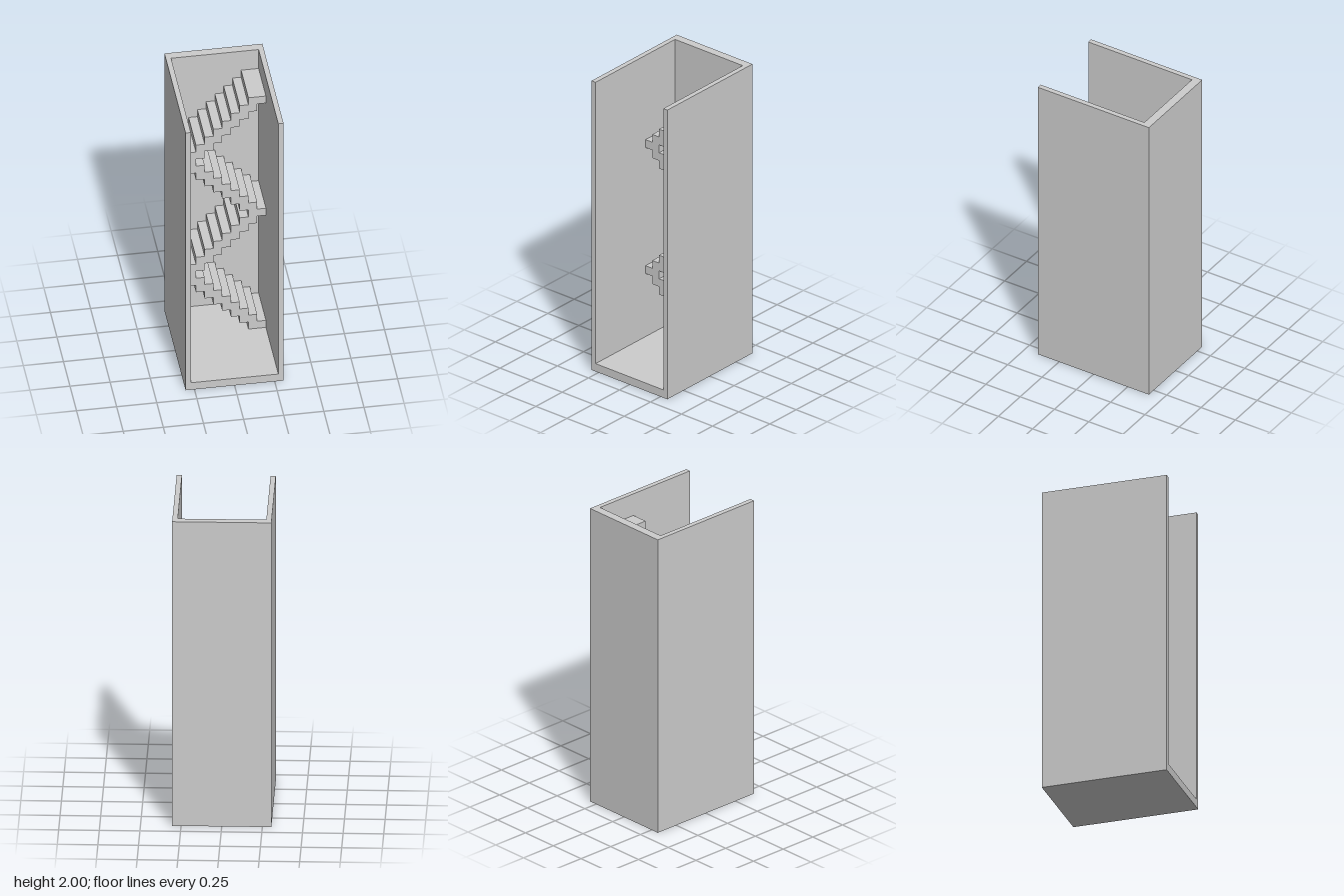
import * as THREE from 'three';

const W = 0.305, D = 0.405, H = 2;      // half width, half depth, height
const U = 0.0545;                       // stair tread = rise = floor thickness
const IN = 5 * U, BACK = -0.351;        // inner faces of side and back walls
const STAIR_FRONT = -0.07;

const material = new THREE.MeshStandardMaterial({ color: 0xcccccc });

function add(group, geometry, name) {
  const mesh = new THREE.Mesh(geometry, material);
  mesh.name = name;
  group.add(mesh);
  return mesh;
}

function extrude(points, depth) {
  const shape = new THREE.Shape(points.map(([x, y]) => new THREE.Vector2(x, y)));
  return new THREE.ExtrudeGeometry(shape, { depth, bevelEnabled: false });
}

export function createModel() {
  const group = new THREE.Group();
  group.name = 'stairwell';

  // U-shaped walls, open at the front and top (plan drawn as x, -z)
  const plan = [
    [-W, -D], [-IN, -D], [-IN, -BACK], [IN, -BACK],
    [IN, -D], [W, -D], [W, D], [-W, D],
  ];
  const walls = extrude(plan, H);
  walls.rotateX(-Math.PI / 2);
  add(group, walls, 'walls');

  // Floor slab between the walls
  const floor = new THREE.BoxGeometry(2 * IN, U, D - BACK);
  floor.translate(0, U / 2, (D + BACK) / 2);
  add(group, floor, 'floor');

  // Zigzag stairs: each row is two treads wide and shifts one tread per rise,
  // turning round every eight rows
  const rightEdge = [], leftEdge = [];
  for (let row = 1; row <= 33; row++) {
    const d = (row - 1) % 16;
    const shift = d <= 8 ? d : 16 - d;
    for (const y of [row * U, (row + 1) * U]) {
      rightEdge.push([(5 - shift) * U, y]);
      leftEdge.push([(3 - shift) * U, y]);
    }
  }
  const stairs = extrude([...rightEdge, ...leftEdge.reverse()], STAIR_FRONT - BACK);
  stairs.translate(0, 0, BACK);
  add(group, stairs, 'stairs');

  return group;
}
